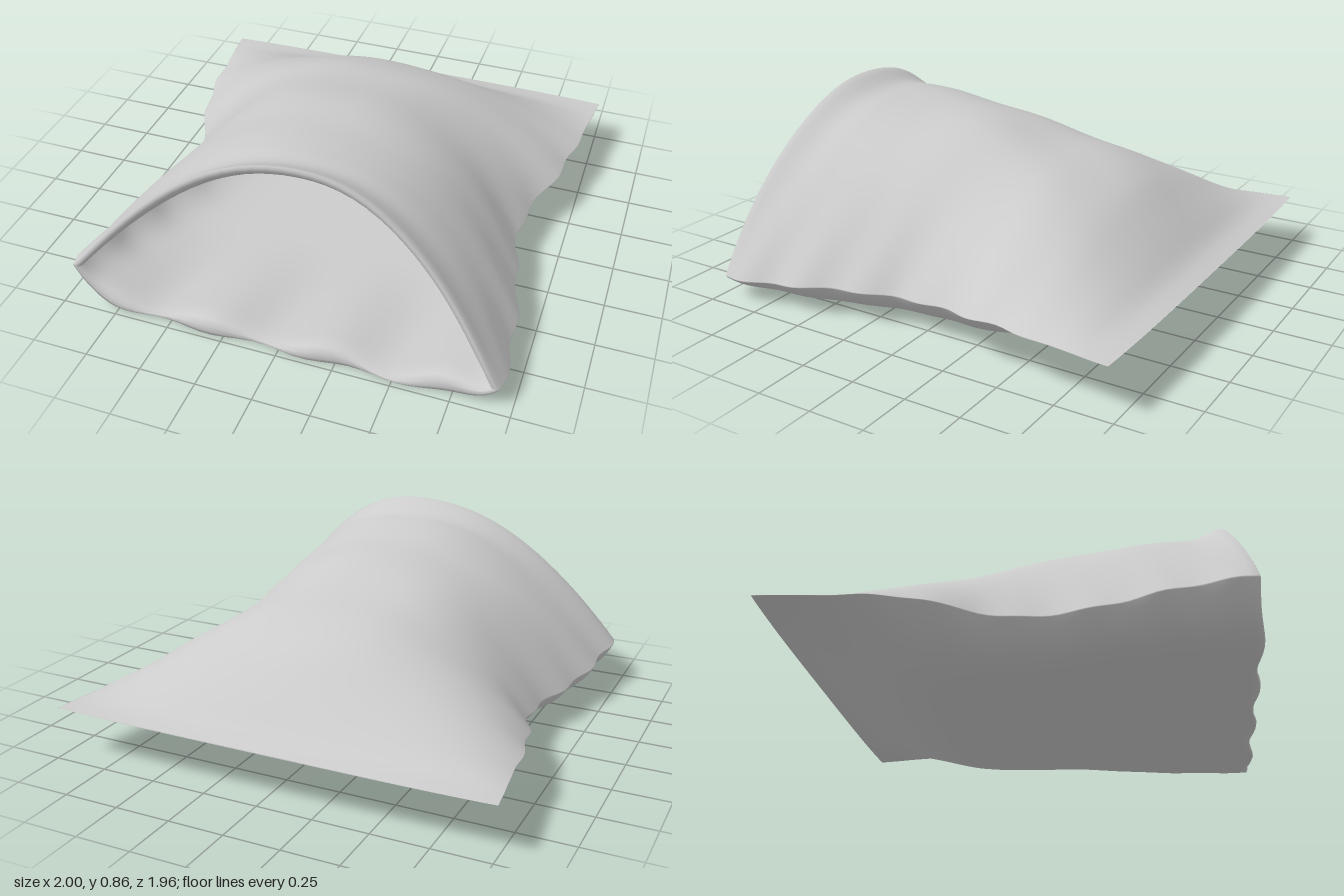
import * as THREE from 'three';

// Sack sections from the closed back seam to the open mouth:
// z, half width, top height, floor height, side fold height, top roundness, floor squareness
const SECTIONS = [
  [-0.97, 1.0, 0.228, 0.224, 0.226, 2, 3],
  [-0.87, 0.99, 0.265, 0.19, 0.226, 2, 3],
  [-0.8, 0.98, 0.33, 0.155, 0.226, 2, 3],
  [-0.7, 0.97, 0.42, 0.11, 0.225, 2, 3],
  [-0.58, 0.955, 0.515, 0.06, 0.225, 2, 3.3],
  [-0.4, 0.93, 0.59, 0.005, 0.22, 2.1, 4],
  [-0.2, 0.87, 0.65, 0, 0.19, 2.2, 6],
  [0.0, 0.815, 0.7, 0, 0.16, 2.4, 8],
  [0.25, 0.845, 0.745, 0, 0.15, 2.4, 9],
  [0.45, 0.895, 0.775, 0, 0.15, 2.3, 10],
  [0.65, 0.93, 0.79, 0, 0.15, 2.2, 10],
  [0.85, 0.945, 0.815, 0, 0.15, 2.1, 10],
  [0.97, 0.95, 0.87, 0, 0.15, 2.1, 10],
];
const SEGMENTS = 96;
const profile = new THREE.CubicInterpolant(
  SECTIONS.map((s) => s[0]), SECTIONS.flatMap((s) => s.slice(1)), 6, new Float32Array(6));

// One closed ring of the sack; inset shrinks it to give the inner skin
function ring(z, inset) {
  let [w, top, floor, fold, p, q] = profile.evaluate(z);
  const height = top - floor;
  const d = Math.min(inset, height * 0.3);
  const mouth = THREE.MathUtils.smoothstep(z, 0.3, 0.97);
  const loose = THREE.MathUtils.smoothstep(z, -0.85, -0.4);
  floor = Math.max(0, floor);
  const points = [];
  for (let j = 0; j < SEGMENTS; j++) {
    const angle = (j / SEGMENTS) * Math.PI * 2;
    const u = Math.cos(angle);
    const upper = Math.sin(angle) >= 0;
    const f = 1 - Math.abs(u) ** (upper ? p : q);
    const side = fold - 0.05 * u * mouth;
    let x = u * (w - d * 1.1);
    let y, depth = z;
    if (upper) {
      y = side + (top - d - side) * f;
      // shallow cloth folds
      y += 0.01 * loose * f * Math.sin(9 * z + 4 * u) * Math.cos(5 * u - 3 * z) * (1 - mouth * 0.5);
      x += 0.05 * f * mouth;
      depth -= 0.14 * f ** 1.4 * mouth * mouth;
    } else {
      y = side - (side - floor - d * 0.5) * f;
      // rumpled floor inside the mouth
      if (inset > 0) y += f * mouth * (d / 0.045) * 0.03 * (1 + Math.sin(11 * u + 2.5 + z * 3));
      depth += 0.012 * f * mouth * Math.sin(14 * u);
    }
    // gathered sides around the waist
    x += Math.sign(u) * 0.012 * loose * Math.abs(u) ** 6 * Math.sin(22 * z + 5 * y + (u > 0 ? 1 : 0));
    // bowed back seam
    depth -= 0.012 * (1 - u ** 4) * THREE.MathUtils.smoothstep(-z, 0.7, 0.97);
    points.push(x, Math.max(0, y), depth);
  }
  return points;
}

function sackGeometry() {
  const rows = [];
  const OUTER = 56, INNER = 48;
  // outer skin, back to front
  for (let i = 0; i <= OUTER; i++) rows.push(ring(-0.97 + (1.935 * i) / OUTER, 0));
  // rolled lip
  rows.push(ring(0.97, 0.012), ring(0.967, 0.028), ring(0.95, 0.04));
  // inner skin, front to back
  for (let i = 1; i <= INNER; i++) rows.push(ring(0.95 - (1.88 * i) / INNER, 0.045));

  const index = [];
  for (let i = 0; i < rows.length - 1; i++) {
    for (let j = 0; j < SEGMENTS; j++) {
      const k = (j + 1) % SEGMENTS;
      const a = i * SEGMENTS + j, b = i * SEGMENTS + k;
      const c = a + SEGMENTS, d = b + SEGMENTS;
      index.push(a, b, c, b, d, c);
    }
  }
  const geometry = new THREE.BufferGeometry();
  geometry.setAttribute('position', new THREE.Float32BufferAttribute(rows.flat(), 3));
  geometry.setIndex(index);
  geometry.computeVertexNormals();
  return geometry;
}

export function createModel() {
  const group = new THREE.Group();
  group.name = 'openSack';
  const cloth = new THREE.MeshStandardMaterial({ color: 0xcccccc, side: THREE.DoubleSide });
  const sack = new THREE.Mesh(sackGeometry(), cloth);
  sack.name = 'sackCloth';
  group.add(sack);
  return group;
}
